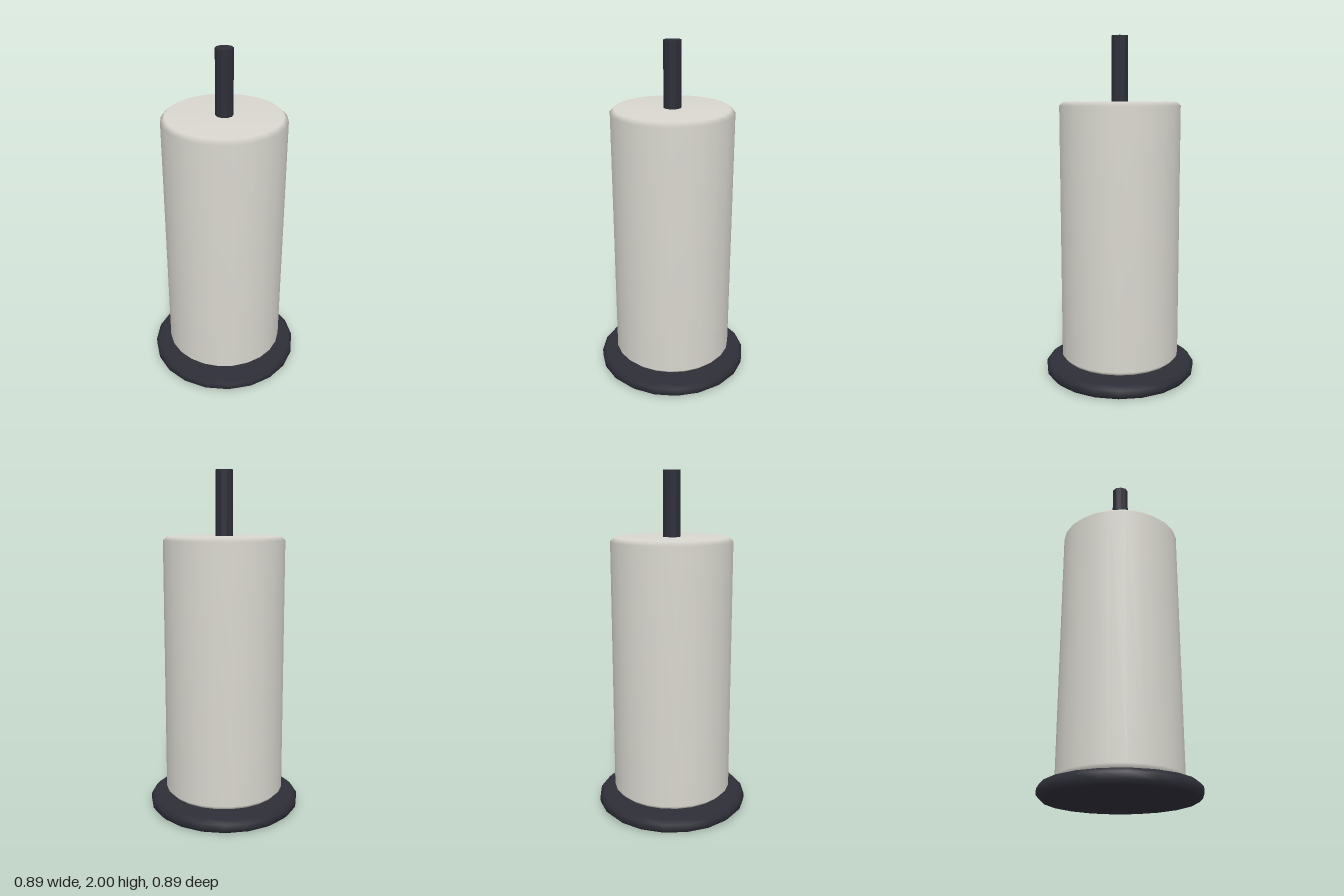
import * as THREE from 'three';

export function createModel() {
  const group = new THREE.Group();
  group.name = 'paperRollHolder';
  const dark = new THREE.MeshStandardMaterial({ name: 'charcoal', color: 0x2e2e38 });
  const pale = new THREE.MeshStandardMaterial({ name: 'paper', color: 0xd8d6ce });

  const add = (name, geometry, material) => {
    const mesh = new THREE.Mesh(geometry, material);
    mesh.name = name;
    group.add(mesh);
    return mesh;
  };

  // Solid disc with a small bevel on both rims, smooth across the profile
  const bevelledDisc = (radius, bottom, top, bevel, sides) =>
    new THREE.LatheGeometry([
      new THREE.Vector2(0, bottom),
      new THREE.Vector2(radius - bevel, bottom),
      new THREE.Vector2(radius, bottom + bevel),
      new THREE.Vector2(radius, top - bevel),
      new THREE.Vector2(radius - bevel, top),
      new THREE.Vector2(0, top),
    ], sides);

  // Foot and paper roll, separated by a narrow gap
  add('base', bevelledDisc(0.447, 0, 0.08, 0.022, 20), dark);
  add('roll', bevelledDisc(0.352, 0.097, 1.63, 0.024, 24), pale);

  // Ten-sided rod through the roll, corners on the x axis
  const rodGeometry = new THREE.CylinderGeometry(0.05, 0.05, 1.94, 10).toNonIndexed();
  rodGeometry.rotateY(Math.PI / 2);
  rodGeometry.computeVertexNormals();
  add('rod', rodGeometry, dark).position.y = 1.03;

  return group;
}
